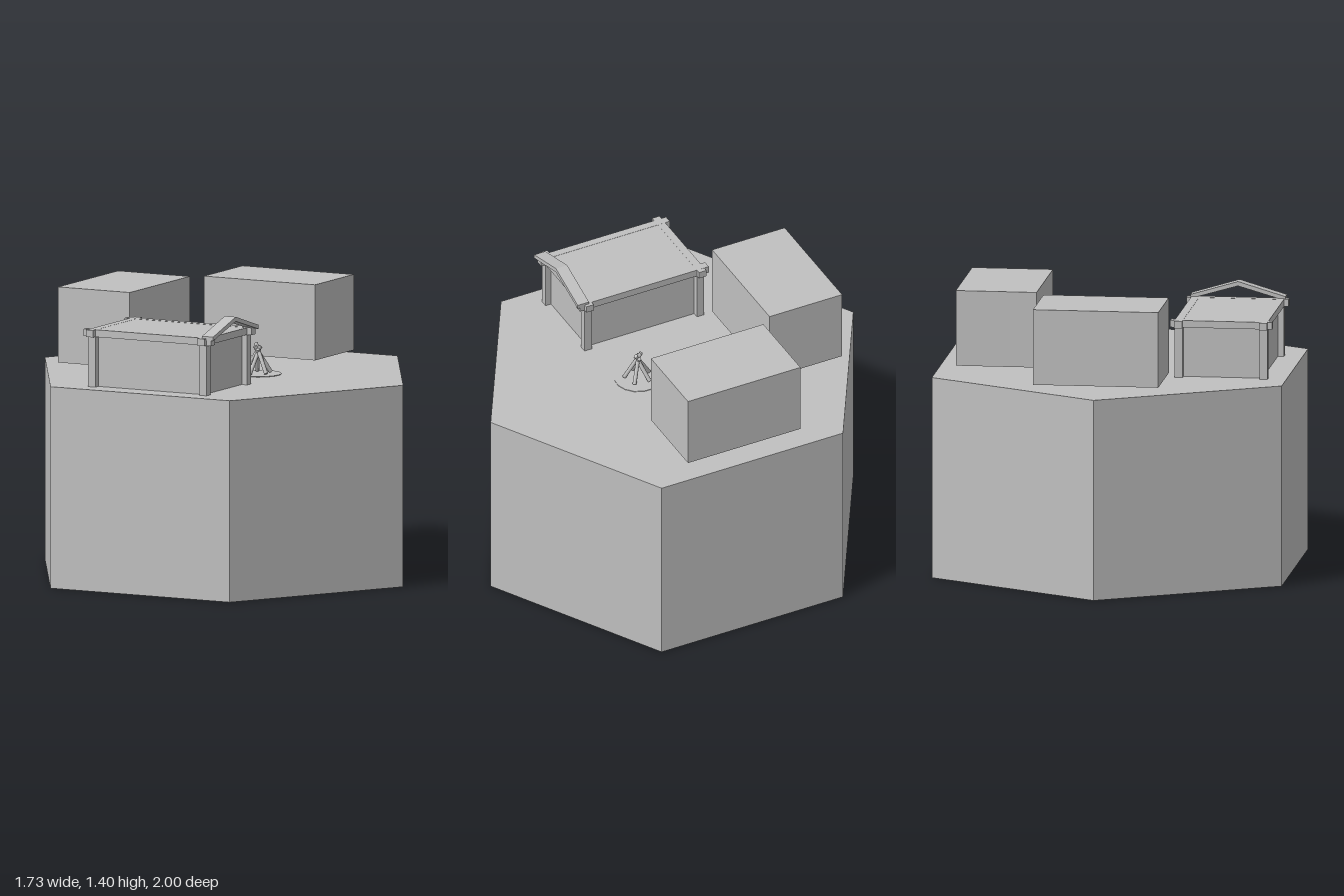
import * as THREE from 'three';

export function createModel() {
  const model = new THREE.Group();
  const stone = new THREE.MeshStandardMaterial({ color: 0xc0c0c0 });
  stone.name = 'plain grey';

  function add(parent, name, geometry, x = 0, y = 0, z = 0) {
    const mesh = new THREE.Mesh(geometry, stone);
    mesh.name = name;
    mesh.position.set(x, y, z);
    parent.add(mesh);
    return mesh;
  }
  const box = (w, h, d) => new THREE.BoxGeometry(w, h, d);
  const TURN = -Math.PI / 6; // buildings share the hexagon's 30 degree grid

  // Hexagonal ground block
  add(model, 'hexagonBase', new THREE.CylinderGeometry(1, 1, 1, 6).toNonIndexed(), 0, 0.5, 0)
    .geometry.computeVertexNormals();

  // Two plain building blocks, hovering just above the ground
  add(model, 'sideBlock', box(0.4, 0.375, 0.62), -0.483, 1.2145, -0.302).rotation.y = TURN;
  add(model, 'backBlock', box(0.62, 0.375, 0.4), 0.283, 1.2145, -0.497).rotation.y = TURN;

  // Timber-framed house, its entrance end along local +x
  const house = new THREE.Group();
  house.name = 'house';
  house.position.set(-0.28, 1, 0.4675);
  house.rotation.y = TURN;
  model.add(house);
  add(house, 'walls', box(0.6, 0.26, 0.4), 0, 0.13, 0);
  add(house, 'flatRoof', box(0.62, 0.034, 0.42), 0, 0.267, 0);
  for (const s of [-1, 1]) {
    add(house, 'longBeam', box(0.71, 0.036, 0.04), 0, 0.267, s * 0.21);
    add(house, 'crossBeam', box(0.04, 0.035, 0.505), s * 0.31, 0.267, 0);
    for (const t of [-1, 1]) {
      add(house, 'cornerPost', box(0.04, 0.25, 0.04), s * 0.31, 0.125, t * 0.21);
    }
  }

  // Open gable rafters over the entrance
  const chevron = new THREE.Shape([
    [-0.235, 0.275], [0, 0.343], [0.235, 0.275],
    [0.235, 0.295], [0, 0.365], [-0.235, 0.295],
  ].map(([x, y]) => new THREE.Vector2(x, y)));
  const gable = new THREE.ExtrudeGeometry(chevron, { depth: 0.062, bevelEnabled: false });
  gable.rotateY(-Math.PI / 2);
  add(house, 'gableRafters', gable, 0.37, 0, 0);

  // Campfire: flat round hearth with five leaning logs
  const fire = new THREE.Group();
  fire.name = 'campfire';
  fire.position.set(0.163, 1, 0.093);
  model.add(fire);
  add(fire, 'hearth', new THREE.CylinderGeometry(0.118, 0.118, 0.003, 16), 0, 0.0015, 0);
  const up = new THREE.Vector3(0, 1, 0);
  for (let i = 0; i < 5; i++) {
    const a = (i / 5) * Math.PI * 2 - Math.PI / 2;
    const foot = new THREE.Vector3(Math.cos(a) * 0.068, 0.008, Math.sin(a) * 0.068);
    const tip = new THREE.Vector3(-Math.cos(a) * 0.015, 0.125 + (i % 3) * 0.013, -Math.sin(a) * 0.015);
    const dir = tip.clone().sub(foot);
    const log = add(fire, 'log', new THREE.CylinderGeometry(0.01, 0.01, dir.length(), 8));
    log.position.copy(foot).add(tip).multiplyScalar(0.5);
    log.quaternion.setFromUnitVectors(up, dir.normalize());
  }
  return model;
}
